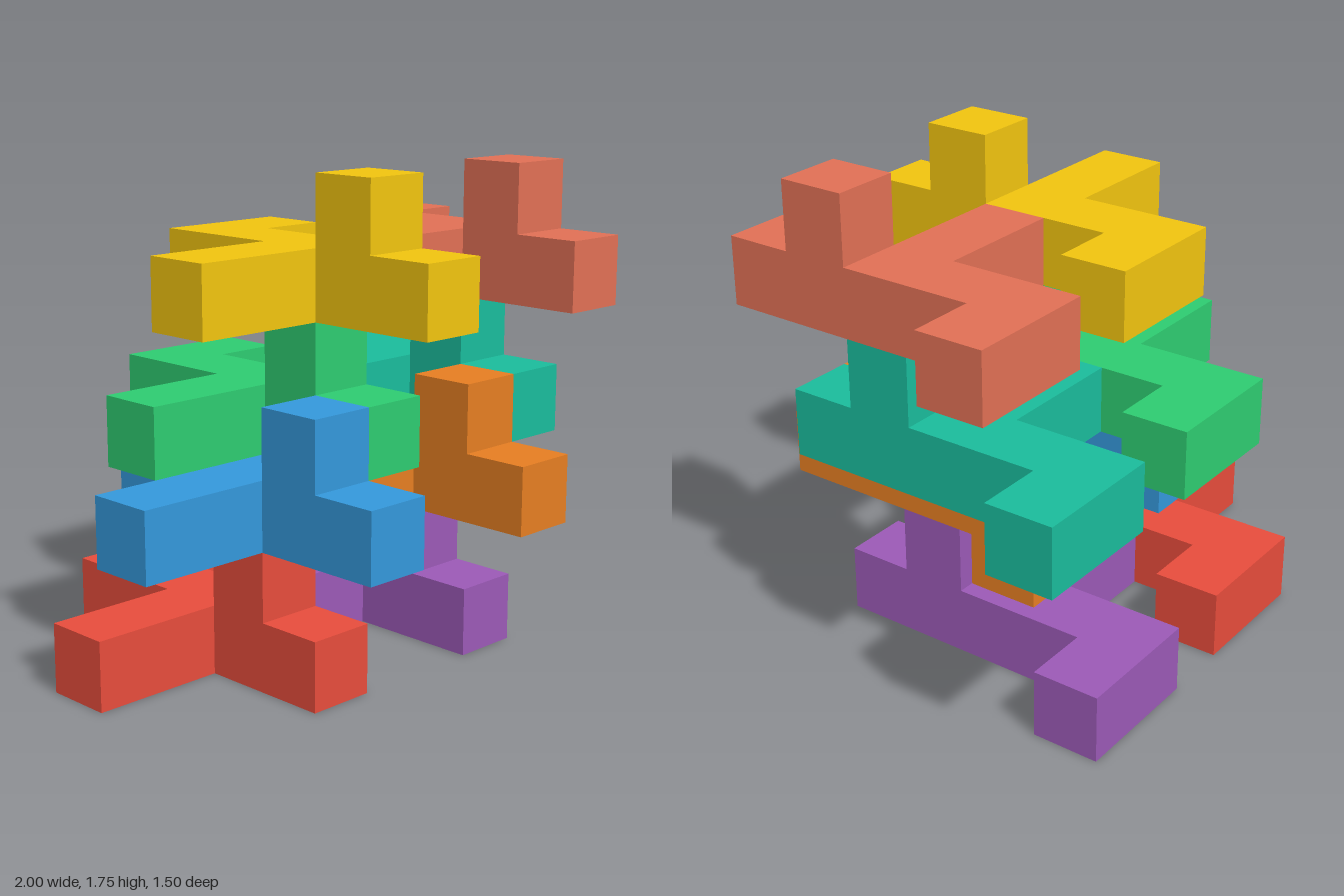
import * as THREE from 'three';
import { mergeGeometries } from 'three/addons/utils/BufferGeometryUtils.js';

const U = 0.25; // edge of one cube

// One puzzle piece in cube units: bent plan outline one cube thick, with a stud on the long bar
function pieceGeometry() {
  const outline = [
    [0, 0], [2, 0], [2, 1], [1, 1], [1, 5],
    [0, 5], [0, 3], [-2, 3], [-2, 2], [0, 2],
  ].map(([x, z]) => new THREE.Vector2(x, z));
  const plan = new THREE.ExtrudeGeometry(new THREE.Shape(outline), { depth: 1, bevelEnabled: false });
  plan.rotateX(Math.PI / 2).translate(0, 1, 0);
  const stud = new THREE.BoxGeometry(1, 1, 1).translate(0.5, 1.5, 3.5).toNonIndexed();
  plan.clearGroups();
  stud.clearGroups();
  return mergeGeometries([plan, stud]).scale(U, U, U);
}

export function createModel() {
  const model = new THREE.Group();
  model.name = 'interlockingPieces';
  const geometry = pieceGeometry();

  // Four layers, each with a left and a right piece three cubes apart
  const layers = [
    { level: 'bottom', x: 0.25, y: 0, z: -0.75, right: 0xe74c3c, left: 0x9b59b6 },
    { level: 'lowerMiddle', x: 0.25, y: 0.5, z: -0.5, right: 0x3498db, left: 0xe67e22 },
    { level: 'upperMiddle', x: 0.5, y: 0.75, z: -0.75, right: 0x2ecc71, left: 0x1abc9c },
    { level: 'top', x: 0.5, y: 1.25, z: -0.5, right: 0xf1c40f, left: 0xe17055 },
  ];
  for (const { level, x, y, z, right, left } of layers) {
    for (const [side, color, shift] of [['Right', right, -3 * U], ['Left', left, 0]]) {
      const piece = new THREE.Mesh(geometry, new THREE.MeshStandardMaterial({ color }));
      piece.name = `${level}${side}Piece`;
      piece.position.set(x + shift, y, z);
      model.add(piece);
    }
  }
  return model;
}
